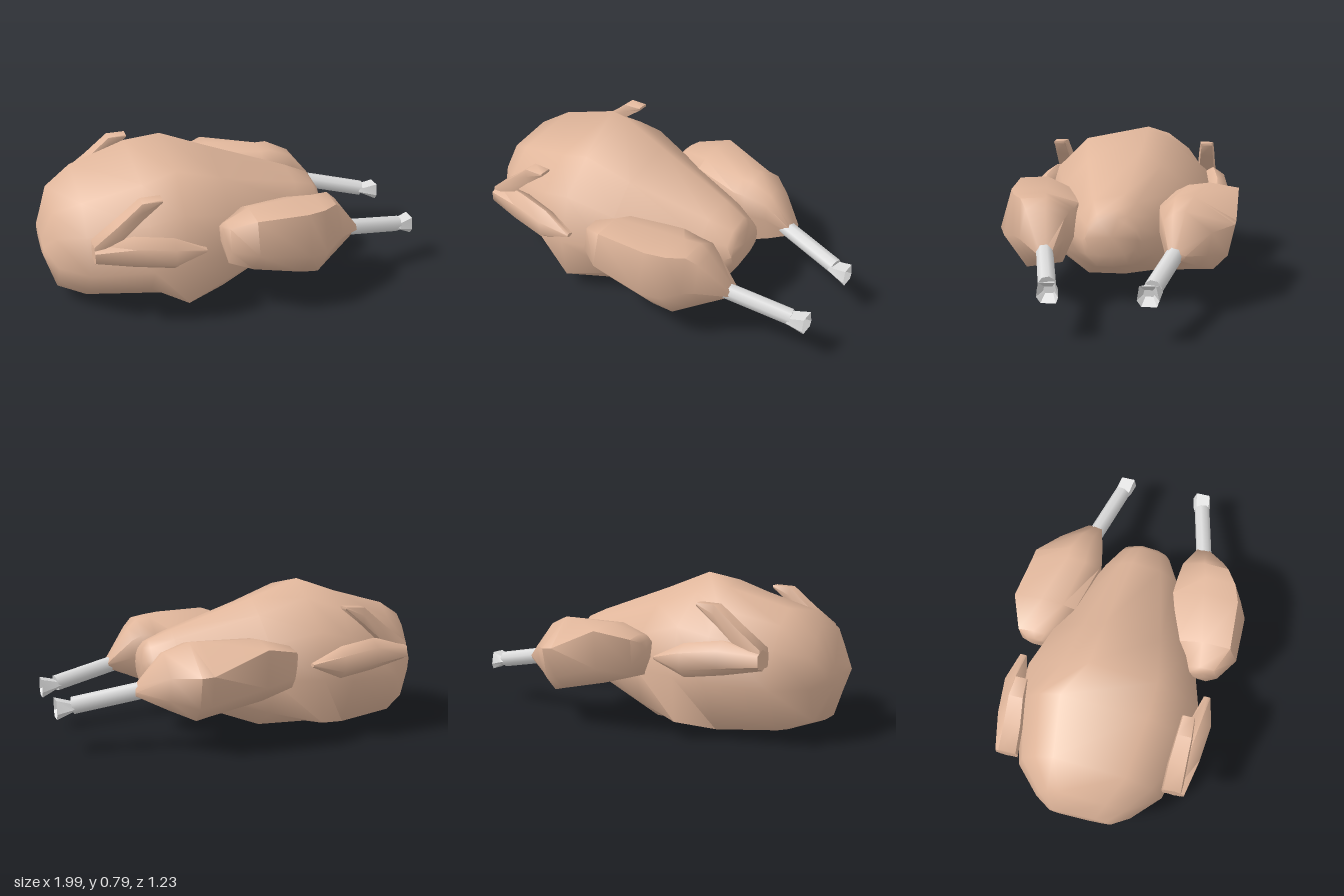
import * as THREE from 'three';
import { toCreasedNormals } from 'three/addons/utils/BufferGeometryUtils.js';

// Cross-section profiles: [height 0..1, width -1..1], from the top towards +z
const neckProfile = [
  [1, -0.45], [0.91, 0.5], [0.7, 0.85], [0.4, 1], [0.19, 0.77], [0, 0.35],
  [0, -0.1], [0.02, -0.4], [0.06, -0.74], [0.4, -1], [0.7, -0.9], [0.88, -0.7],
];
const breastProfile = [
  [1, -0.22], [0.91, 0.5], [0.7, 0.85], [0.4, 1], [0.11, 0.95], [0, 0.42],
  [0, -0.1], [0.05, -0.5], [0.11, -0.95], [0.4, -1], [0.7, -0.9], [0.89, -0.5],
];
const tailProfile = [
  [1, -0.22], [0.91, 0.5], [0.7, 0.85], [0.45, 1], [0.2, 0.88], [0, 0.5],
  [0, 0], [0.05, -0.5], [0.2, -0.9], [0.45, -1], [0.7, -0.9], [0.89, -0.5],
];
const frontThighProfile = [
  [1, -0.2], [0.97, 0.7], [0.42, 1], [0, 0.37], [0.08, -0.65], [0.45, -1], [0.8, -1],
];
const rearThighProfile = [
  [1, -0.08], [0.95, 0.6], [0.84, 1], [0.5, 1], [0, 0.75], [0.03, -0.45], [0.29, -0.9], [0.92, -1],
];
const rearKneeProfile = [
  [1, 0.1], [0.95, 0.6], [0.82, 1], [0.5, 1], [0, 0.75], [0.03, -0.45], [0.22, -0.82], [0.64, -1],
];
const hexagon = [[1, 0], [0.75, 0.87], [0.25, 0.87], [0, 0], [0.25, -0.87], [0.75, -0.87]];
const bar = [[1, -0.85], [1, 0.85], [0.5, 1], [0, 0.85], [0, -0.85], [0.5, -1]];
const knuckleProfile = [[1, 0.8], [0.3, 1], [0, 0.6], [0, -0.8], [0.3, -1], [1, -0.7]];

// Closed loft along x; each section is [x, yLow, yHigh, zLow, zHigh, own profile if any]
function loft(profile, sections, crease = 1.1) {
  const n = profile.length, pos = [], index = [];
  for (const [x, y0, y1, z0, z1, own = profile] of sections) {
    for (const [v, w] of own) {
      pos.push(x, y0 + (y1 - y0) * v, (z0 + z1) / 2 + ((z1 - z0) / 2) * w);
    }
  }
  const last = (sections.length - 1) * n, c0 = last + n, c1 = c0 + 1;
  for (const [x, y0, y1, z0, z1] of [sections[0], sections.at(-1)]) {
    pos.push(x, (y0 + y1) / 2, (z0 + z1) / 2);
  }
  for (let j = 0; j < n; j++) {
    const k = (j + 1) % n;
    for (let r = 0; r < last; r += n) {
      index.push(r + j, r + k, r + n + k, r + j, r + n + k, r + n + j);
    }
    index.push(c0, k, j, c1, last + j, last + k);
  }
  const g = new THREE.BufferGeometry();
  g.setAttribute('position', new THREE.Float32BufferAttribute(pos, 3));
  g.setIndex(index);
  return toCreasedNormals(g, crease);
}

export function createModel() {
  const skin = new THREE.MeshStandardMaterial({ name: 'roasted skin', color: 0xe0b69b });
  const bone = new THREE.MeshStandardMaterial({ name: 'bone', color: 0xdcdcdc });
  const model = new THREE.Group();
  model.name = 'roastBird';

  const add = (parent, name, geometry, material) => {
    const mesh = new THREE.Mesh(geometry, material);
    mesh.name = name;
    parent.add(mesh);
    return mesh;
  };

  // Plump body, from the neck end to the tail end
  const body = [
    [-1, 0.28, 0.38, 0.16, neckProfile], [-0.94, 0.09, 0.57, 0.25, neckProfile],
    [-0.8, 0.04, 0.65, 0.385, neckProfile], [-0.5, 0.01, 0.735, 0.465, neckProfile],
    [-0.33, 0.005, 0.795, 0.48, breastProfile], [-0.08, 0.005, 0.7, 0.405, tailProfile],
    [0.35, 0.17, 0.55, 0.22, tailProfile], [0.47, 0.21, 0.5, 0.15, tailProfile],
    [0.5, 0.27, 0.46, 0.13, tailProfile],
  ].map(([x, y0, y1, w, own]) => [x, y0, y1, -w, w, own]);
  add(model, 'body', loft(breastProfile, body), skin);

  // Section tables: [x, yLow, yHigh, zInner, zOuter, own profile if any]
  const frontThigh = [
    [-0.15, 0.39, 0.48, 0.38, 0.46], [-0.13, 0.3, 0.51, 0.36, 0.53],
    [-0.01, 0.26, 0.56, 0.28, 0.61], [0.26, 0.185, 0.555, 0.2, 0.61],
    [0.36, 0.16, 0.55, 0.205, 0.57], [0.44, 0.2, 0.545, 0.215, 0.505],
    [0.49, 0.225, 0.5, 0.235, 0.46], [0.62, 0.29, 0.33, 0.27, 0.35],
  ];
  const rearThigh = [
    [-0.17, 0.39, 0.48, 0.4, 0.5], [-0.14, 0.3, 0.51, 0.37, 0.55],
    [0.03, 0.25, 0.555, 0.285, 0.615], [0.3, 0.185, 0.55, 0.22, 0.605, rearKneeProfile],
    [0.36, 0.17, 0.55, 0.225, 0.6, rearKneeProfile],
    [0.48, 0.22, 0.5, 0.25, 0.49, rearKneeProfile],
    [0.62, 0.29, 0.33, 0.29, 0.37, rearKneeProfile],
  ];
  const lowerWing = [
    [-0.79, 0.39, 0.49, 0.38, 0.5], [-0.6, 0.355, 0.52, 0.4, 0.54],
    [-0.41, 0.33, 0.495, 0.43, 0.56], [-0.25, 0.4, 0.42, 0.48, 0.52],
  ];
  const wingTip = [
    [-0.79, 0.4, 0.49, 0.375, 0.48], [-0.67, 0.49, 0.58, 0.375, 0.475],
    [-0.55, 0.595, 0.68, 0.385, 0.47], [-0.45, 0.67, 0.685, 0.395, 0.46],
  ];
  // Flared knuckle with a hollow end
  const knuckle = [
    [0.88, 0.23, 0.265, 0.205, 0.27], [0.915, 0.22, 0.26, 0.19, 0.285],
    [0.99, 0.185, 0.28, 0.175, 0.275], [0.95, 0.22, 0.25, 0.2, 0.25],
  ];

  for (const side of [1, -1]) {
    const label = side > 0 ? 'front' : 'rear';
    const place = (table) => table.map(([x, y0, y1, a, b, own]) =>
      (side > 0 ? [x, y0, y1, a, b, own] : [x, y0, y1, -b, -a, own]));

    const leg = new THREE.Group();
    leg.name = label + 'Leg';
    add(leg, 'thigh', side > 0
      ? loft(frontThighProfile, place(frontThigh))
      : loft(rearThighProfile, place(rearThigh)), skin);
    const from = new THREE.Vector3(0.54, 0.32, side * 0.325);
    const to = new THREE.Vector3(0.91, 0.245, side * 0.24);
    const shank = add(leg, 'shankBone',
      new THREE.CylinderGeometry(0.043, 0.043, from.distanceTo(to), 8), bone);
    shank.position.lerpVectors(from, to, 0.5);
    shank.quaternion.setFromUnitVectors(
      new THREE.Vector3(0, 1, 0), to.clone().sub(from).normalize());
    add(leg, 'knuckle', loft(knuckleProfile, place(knuckle), 0.4), bone);
    model.add(leg);

    const wing = new THREE.Group();
    wing.name = label + 'Wing';
    add(wing, 'lowerWing', loft(hexagon, place(lowerWing)), skin);
    add(wing, 'wingTip', loft(bar, place(wingTip)), skin);
    model.add(wing);
  }
  return model;
}
